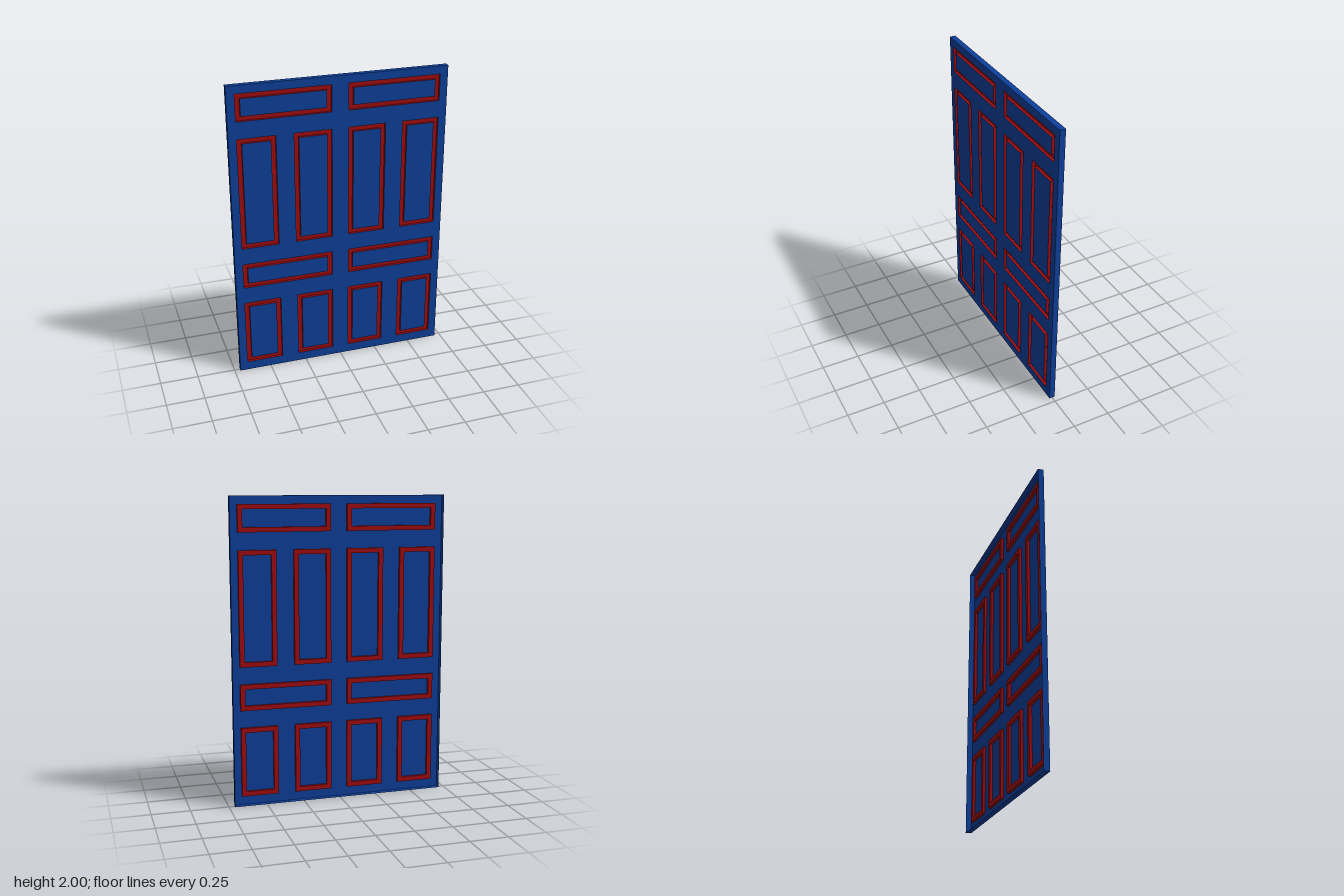
import * as THREE from 'three';

const blue = new THREE.MeshStandardMaterial({ color: 0x0d3f9a, side: THREE.DoubleSide });
const red = new THREE.MeshStandardMaterial({ color: 0xa00c10, side: THREE.DoubleSide });

const W = 0.712, H = 2, FRONT = 0.019, BACK = -0.019;
const GROOVE = 0.001; // depth position of the groove floors
const BAND = 0.031;   // width of each groove

// Corners of a rectangle [x0, x1, y0, y1], counter-clockwise
const corners = ([x0, x1, y0, y1]) =>
  [[x0, y0], [x1, y0], [x1, y1], [x0, y1]].map(([x, y]) => new THREE.Vector2(x, y));

const inset = ([x0, x1, y0, y1], d) => [x0 + d, x1 - d, y0 + d, y1 - d];

// Flat rectangular sheet with rectangular holes
function sheet(rect, holes, z) {
  const shape = new THREE.Shape(corners(rect));
  holes.forEach((h) => shape.holes.push(new THREE.Path(corners(h).reverse())));
  return new THREE.ShapeGeometry(shape).translate(0, 0, z);
}

// Four thin walls around a rectangle, facing outwards
function walls(rect, zBack, zFront) {
  const c = corners(rect), pos = [];
  c.forEach((a, i) => {
    const b = c[(i + 1) % 4];
    pos.push(a.x, a.y, zBack, b.x, b.y, zBack, b.x, b.y, zFront);
    pos.push(a.x, a.y, zBack, b.x, b.y, zFront, a.x, a.y, zFront);
  });
  const g = new THREE.BufferGeometry();
  g.setAttribute('position', new THREE.Float32BufferAttribute(pos, 3));
  g.computeVertexNormals();
  return g;
}

export function createModel() {
  const door = new THREE.Group();
  door.name = 'panelledDoor';
  const add = (parent, name, geometry, material) => {
    const mesh = new THREE.Mesh(geometry, material);
    mesh.name = name;
    parent.add(mesh);
  };

  // Panel layout: two wide rows and two rows of four upright panels
  const wide = [[0.055, 0.66]];
  const upright = [[0.055, 0.3], [0.415, 0.66]];
  const rows = [
    [1.773, 1.947, wide], [0.917, 1.661, upright],
    [0.632, 0.803, wide], [0.06, 0.517, upright],
  ];
  const panels = [];
  for (const [y0, y1, spans] of rows)
    for (const [a, b] of spans) panels.push([a, b, y0, y1], [-b, -a, y0, y1]);

  // Door skin, open at the back, with a thin edge all round
  const outline = [-W, W, 0, H];
  add(door, 'frontSkin', sheet(outline, panels, FRONT), blue);
  add(door, 'edge', walls(outline, BACK, FRONT), blue);

  // Sunken red band around every flush panel
  for (const p of panels) {
    const inner = inset(p, BAND);
    const moulding = new THREE.Group();
    moulding.name = 'panelMoulding';
    add(moulding, 'panelField', sheet(inner, [], FRONT), blue);
    add(moulding, 'grooveFloor', sheet(p, [inner], GROOVE), red);
    add(moulding, 'grooveOuterWall', walls(p, GROOVE, FRONT), red);
    add(moulding, 'grooveInnerWall', walls(inner, GROOVE, FRONT), red);
    door.add(moulding);
  }
  return door;
}
